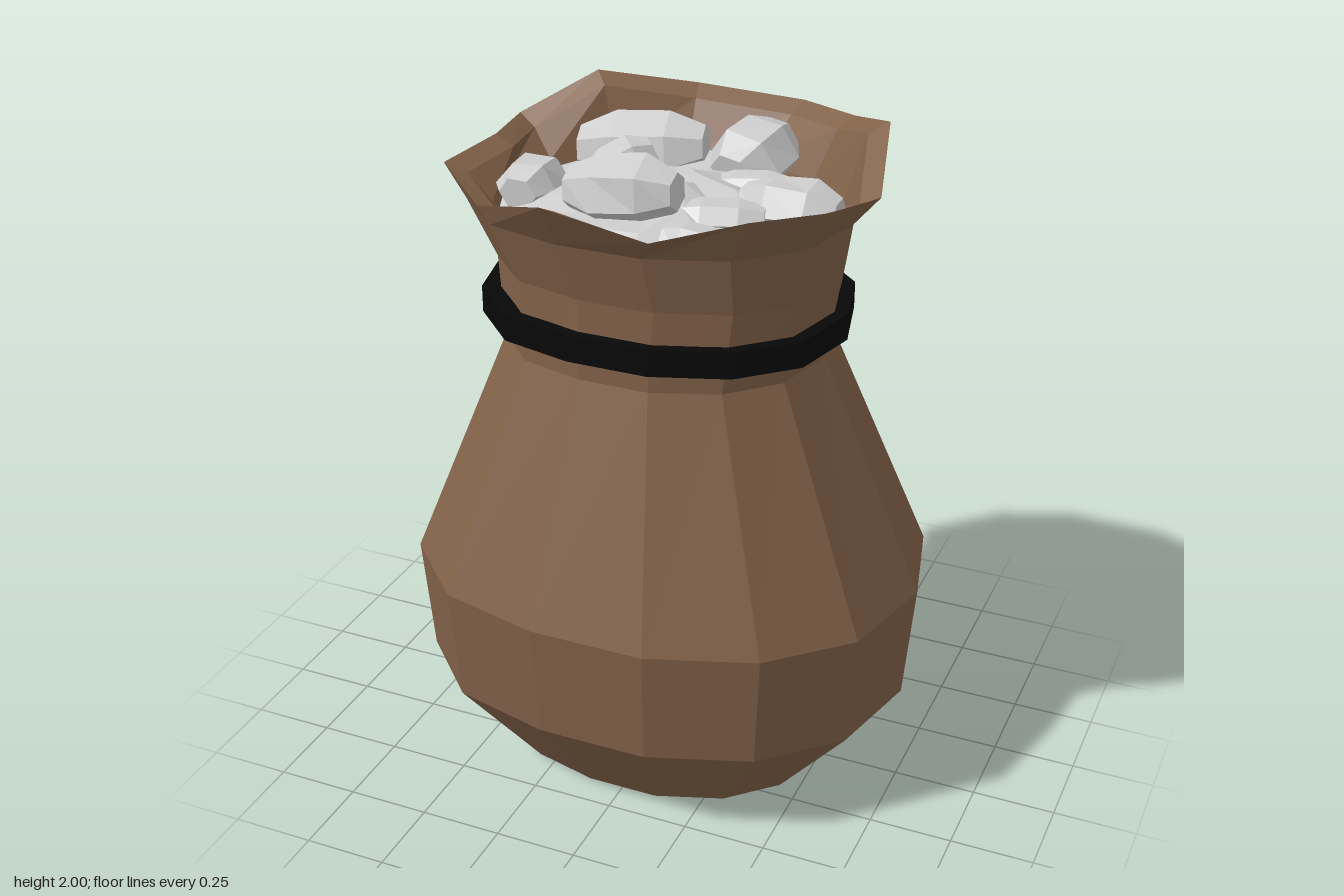
import * as THREE from 'three';

const SIDES = 14;

function material(color) {
  return new THREE.MeshStandardMaterial({ color, flatShading: true });
}

// Elliptical ring of points, running from +x towards +z
function ring(y, rx, rz, cx = 0, cz = 0) {
  return Array.from({ length: SIDES }, (_, k) => {
    const a = (k / SIDES) * Math.PI * 2;
    return [cx + rx * Math.cos(a), y, cz + rz * Math.sin(a)];
  });
}

// Ring with fuller corners, a little deeper on the right side (-x)
function fullRing(y, rx, rz, cx = 0) {
  return ring(y, rx, rz, cx).map(([x, h, z]) => {
    const s = Math.abs(z / rz);
    const deeper = x < -0.3 * rx ? 1.06 : 1;
    return [x, h, s < 0.01 ? 0 : Math.sign(z) * rz * Math.pow(s, 0.86) * deeper];
  });
}

// Faceted skin joining successive rings
function loft(rings) {
  const pos = [];
  for (let i = 0; i < rings.length - 1; i++) {
    const lo = rings[i], hi = rings[i + 1], n = lo.length;
    for (let k = 0; k < n; k++) {
      const m = (k + 1) % n;
      pos.push(...lo[k], ...hi[k], ...lo[m], ...lo[m], ...hi[k], ...hi[m]);
    }
  }
  const g = new THREE.BufferGeometry();
  g.setAttribute('position', new THREE.Float32BufferAttribute(pos, 3));
  g.computeVertexNormals();
  return g;
}

function part(group, name, geometry, mat) {
  const mesh = new THREE.Mesh(geometry, mat);
  mesh.name = name;
  group.add(mesh);
  return mesh;
}

// Repeatable value in -1..1
function noise(n) {
  const s = Math.sin(n * 127.1 + 11.7) * 43758.5453;
  return (s - Math.floor(s)) * 2 - 1;
}

// Chunky stone: six-sided prism lying on x, flat on top, with bevelled ends
function stoneGeometry(seed, length, height, width) {
  const profile = [[0, -0.5], [0.32, -0.5], [0.53, -0.2], [0.53, 0.22], [0.3, 0.5], [0, 0.5]];
  const rings = profile.map(([r, t], i) => Array.from({ length: 6 }, (_, k) => {
    const a = ((k + 0.5) / 6) * Math.PI * 2;
    const j = 1 + 0.06 * noise(seed * 31 + i * 7 + k);
    return [r * j * Math.cos(a) * 1.15, t, r * j * Math.sin(a)];
  }));
  const g = loft(rings);
  g.rotateZ(-Math.PI / 2);
  g.scale(length, height, width);
  return g;
}

export function createModel() {
  const model = new THREE.Group();
  model.name = 'sackOfStones';
  const cloth = material(0x826249);
  cloth.side = THREE.DoubleSide;
  const stone = material(0xcccccc);
  const cord = material(0x080808);

  // Uneven mouth of the sack, from +x towards +z
  const rim = [
    [0.61, 1.885, 0.01], [0.555, 1.93, 0.28], [0.39, 1.93, 0.425], [0.16, 1.88, 0.54],
    [-0.15, 1.93, 0.54], [-0.41, 1.845, 0.4], [-0.61, 1.88, 0.22], [-0.56, 1.9, 0],
    [-0.61, 1.88, -0.25], [-0.43, 1.985, -0.42], [-0.15, 1.945, -0.54], [0.19, 1.935, -0.54],
    [0.39, 1.95, -0.42], [0.54, 2, -0.27],
  ];
  const lip = rim.map(([x, y, z]) => [x * 0.9, y - 0.03, z * 0.89]);

  // Sack: floor, belly, neck, mouth, then down the inside
  part(model, 'sack', loft([
    ring(0, 0, 0),
    fullRing(0, 0.49, 0.41),
    fullRing(0.31, 0.75, 0.625),
    fullRing(0.67, 0.78, 0.65),
    fullRing(1.38, 0.475, 0.415, -0.01),
    fullRing(1.62, 0.505, 0.412),
    fullRing(1.79, 0.56, 0.455, -0.03),
    rim,
    lip,
    ring(1.77, 0.51, 0.425, -0.02),
    ring(1.6, 0.46, 0.37),
  ]), cloth);

  // Cord tied round the neck
  const cordRing = (y, rx, rz) => fullRing(y, rx, rz, -0.013);
  part(model, 'neckCord', loft([
    cordRing(1.445, 0.542, 0.447), cordRing(1.525, 0.542, 0.447),
    cordRing(1.525, 0.487, 0.405), cordRing(1.445, 0.487, 0.405),
    cordRing(1.445, 0.542, 0.447),
  ]), cord);

  // Lumpy heap filling the mouth
  const heap = [
    [1.66, 0.46, 0.385], [1.765, 0.47, 0.415], [1.81, 0.36, 0.32],
    [1.83, 0.23, 0.2], [1.85, 0.11, 0.1], [1.85, 0, 0],
  ].map(([y, rx, rz], i) => ring(y, rx, rz, -0.04, 0.02).map(([x, h, z], k) => {
    const n = rx ? noise(i * 19 + k) : 0;
    return [x * (1 + 0.03 * n), h + 0.02 * n, z * (1 + 0.03 * n)];
  }));
  part(model, 'stoneHeap', loft(heap), stone);

  // Loose stones: x, y, z, length, height, width, turn, tilt, roll
  const stones = new THREE.Group();
  stones.name = 'looseStones';
  [
    [-0.2, 1.84, -0.24, 0.38, 0.15, 0.21, 0.2, 0.1, 0.4],
    [0.13, 1.84, -0.29, 0.25, 0.16, 0.22, 1.35, 0.2, 0.1],
    [0.35, 1.81, 0, 0.28, 0.14, 0.19, 0, 0, 0],
    [-0.17, 1.84, -0.03, 0.2, 0.14, 0.17, 0.7, 0.4, 0.1],
    [-0.39, 1.81, 0.1, 0.2, 0.13, 0.18, 1.57, 0, 0],
    [-0.06, 1.88, 0.21, 0.32, 0.15, 0.2, 0.05, 0.1, 0.35],
    [0.19, 1.81, -0.1, 0.25, 0.08, 0.13, 0.1, 0.1, 0],
    [0.19, 1.79, 0.29, 0.19, 0.09, 0.12, 0, -0.1, 0],
    [0.19, 1.81, 0.13, 0.25, 0.08, 0.14, 0.3, 0, 0],
  ].forEach(([x, y, z, l, h, w, turn, tilt, roll], i) => {
    const mesh = part(stones, 'stone', stoneGeometry(i + 1, l, h, w), stone);
    mesh.position.set(x, y, z);
    mesh.rotation.set(roll, turn, tilt, 'YXZ');
  });
  model.add(stones);

  return model;
}
